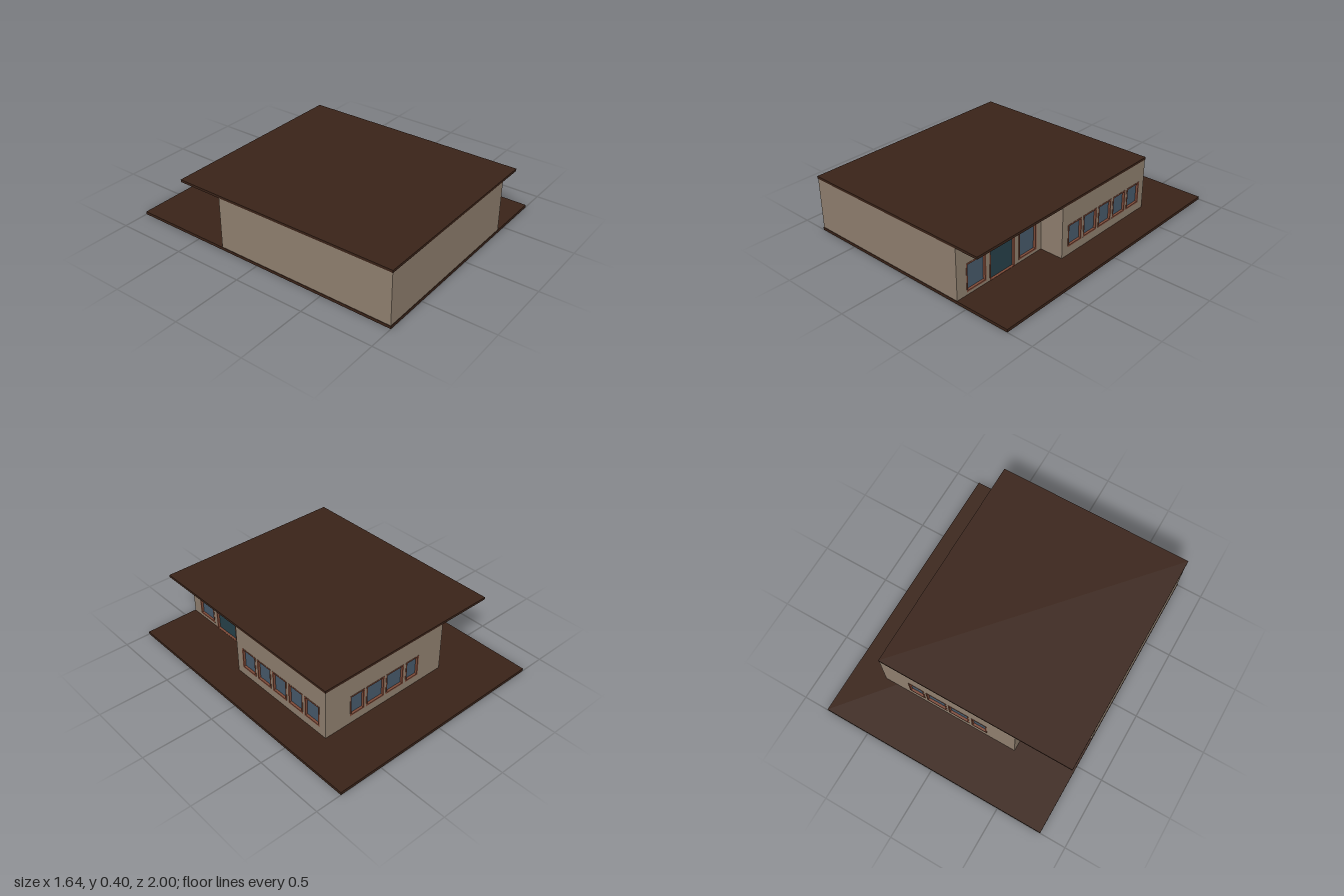
import * as THREE from 'three';

const material = (color) => new THREE.MeshStandardMaterial({ color });
const wallMat = material(0x90806f), roofMat = material(0x3a2318);
const frameMat = material(0x7d4a38), glassMat = material(0x475a6b), doorMat = material(0x27414a);

const BASE = 0.02, EAVES = 0.383, THICK = 0.03, FRAME = 0.01;

// Box given by its minimum and maximum corners
function slab(name, mat, [x0, y0, z0], [x1, y1, z1]) {
  const mesh = new THREE.Mesh(new THREE.BoxGeometry(x1 - x0, y1 - y0, z1 - z0), mat);
  mesh.position.set((x0 + x1) / 2, (y0 + y1) / 2, (z0 + z1) / 2);
  mesh.name = name;
  return mesh;
}

function rectangle(path, u0, y0, u1, y1) {
  path.moveTo(u0, y0).lineTo(u1, y0).lineTo(u1, y1).lineTo(u0, y1).closePath();
  return path;
}

function extrude(shape, depth) {
  return new THREE.ExtrudeGeometry(shape, { depth, bevelEnabled: false });
}

// Framed window or door, set back in its opening
function opening({ u0, u1, y0, y1, door }) {
  const group = new THREE.Group();
  group.name = door ? 'door' : 'window';
  const ring = rectangle(new THREE.Shape(), u0, y0, u1, y1);
  const sill = door ? 0.002 : FRAME;
  ring.holes.push(rectangle(new THREE.Path(), u0 + FRAME, y0 + sill, u1 - FRAME, y1 - FRAME));
  const frame = new THREE.Mesh(extrude(ring, 0.026), frameMat);
  frame.position.z = -0.024;
  frame.name = 'frame';
  const pane = slab(door ? 'doorLeaf' : 'glass', door ? doorMat : glassMat,
    [u0 + 0.002, y0 + 0.001, -0.022], [u1 - 0.002, y1 - 0.002, -0.015]);
  group.add(frame, pane);
  return group;
}

// Wall from a to b (x, z), outer face on the right-hand side, with openings along it
function wall(name, a, b, openings = []) {
  const dx = b[0] - a[0], dz = b[1] - a[1];
  const group = new THREE.Group();
  group.name = name;
  const shape = rectangle(new THREE.Shape(), 0, 0.01, Math.hypot(dx, dz), EAVES + 0.005);
  for (const o of openings) {
    shape.holes.push(rectangle(new THREE.Path(), o.u0, o.y0, o.u1, o.y1));
    group.add(opening(o));
  }
  const panel = new THREE.Mesh(extrude(shape, THICK), wallMat);
  panel.position.z = -THICK;
  panel.name = 'wallPanel';
  group.add(panel);
  group.position.set(a[0], 0, a[1]);
  group.rotation.y = Math.atan2(-dz, dx);
  return group;
}

export function createModel() {
  const model = new THREE.Group();
  model.name = 'house';

  model.add(slab('groundSlab', roofMat, [-0.818, 0, -1], [0.818, BASE, 1]));
  model.add(slab('roof', roofMat, [-0.818, EAVES, -0.62], [0.598, 0.4, 1]));

  // Openings, measured along each wall
  const entrance = [
    { u0: 0.08, u1: 0.245, y0: 0.04, y1: 0.237 },
    { u0: 0.275, u1: 0.5, y0: BASE, y1: 0.237, door: true },
    { u0: 0.535, u1: 0.7, y0: 0.04, y1: 0.237 },
  ];
  const sideRow = [];
  for (let i = 0; i < 5; i++) {
    const u0 = 0.055 + i * 0.155;
    sideRow.push({ u0, u1: u0 + 0.138, y0: 0.078, y1: 0.237 });
  }
  const backRow = [[0.2, 0.32], [0.335, 0.49], [0.505, 0.66], [0.68, 0.795]]
    .map(([u0, u1]) => ({ u0, u1, y0: 0.078, y1: 0.237 }));

  // Outer walls, in order around the stepped plan
  const plan = [
    ['frontWall', [-0.815, 0.997], []],
    ['entranceWall', [0.425, 0.997], entrance],
    ['stepWall', [0.425, 0.25], []],
    ['sideWindowWall', [0.595, 0.25], sideRow],
    ['backWall', [0.595, -0.617], backRow],
    ['porchSideWall', [-0.41, -0.617], []],
    ['porchBackWall', [-0.41, -0.293], []],
    ['plainSideWall', [-0.815, -0.293], []],
  ];
  plan.forEach(([name, start, openings], i) => {
    model.add(wall(name, start, plan[(i + 1) % plan.length][1], openings));
  });
  return model;
}
